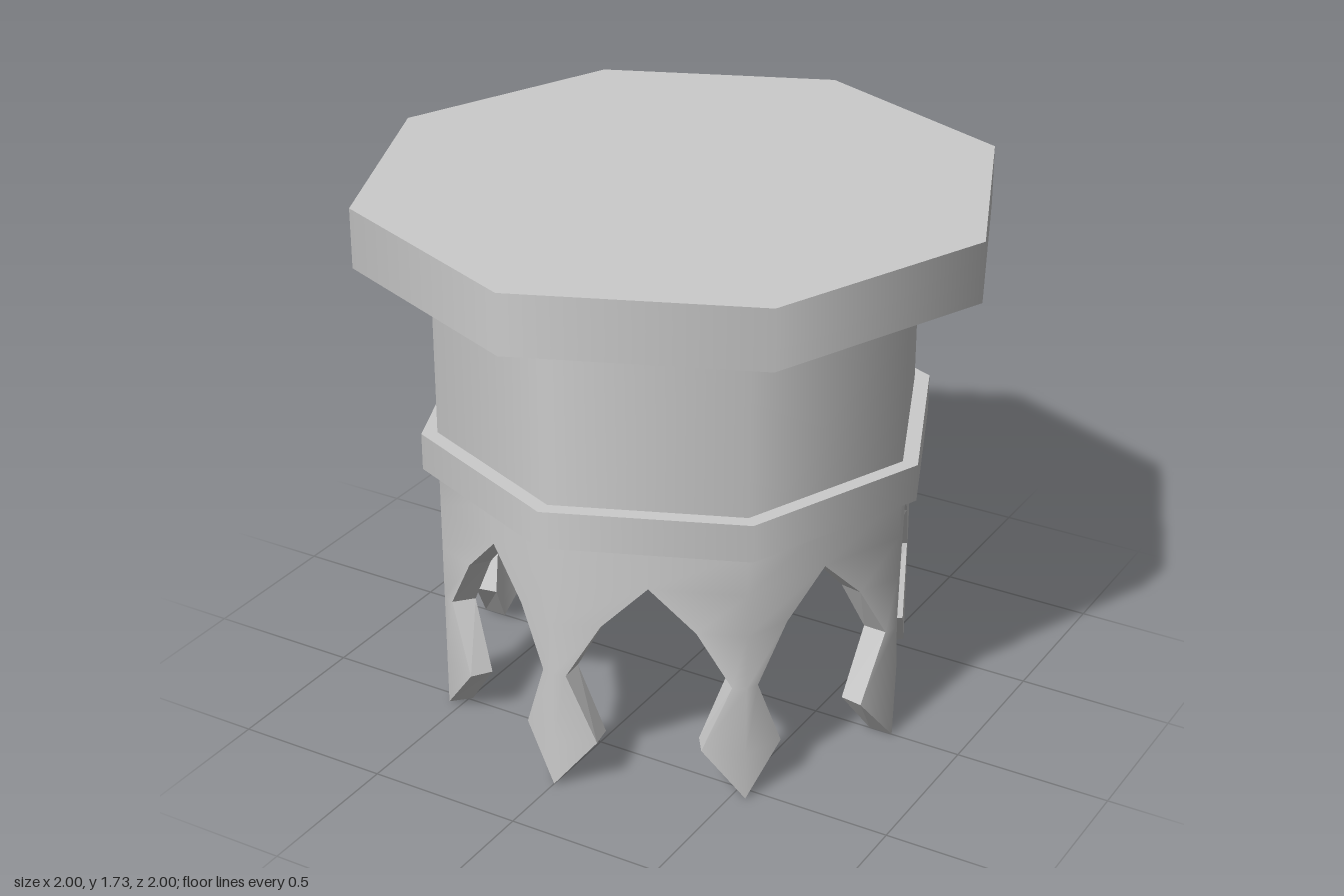
import * as THREE from 'three';
import { mergeVertices } from 'three/addons/utils/BufferGeometryUtils.js';

const SIDES = 8;
const R = 0.77;       // drum corner radius
const INNER = 0.9;    // inner wall scale
const HALF = 0.272;   // half a face, seen from the front

// Half-width of one hanging tooth at each height, tip to rim
const TOOTH = [[0, 0], [0.125, 0.16], [0.04, 0.39], [0.14, 0.57], [HALF, 0.71], [HALF, 0.85]];

const material = new THREE.MeshStandardMaterial({ color: 0xcccccc });

function addMesh(parent, name, geometry) {
  const mesh = new THREE.Mesh(geometry, material);
  mesh.name = name;
  parent.add(mesh);
  return mesh;
}

function octagon(parent, name, radius, y0, y1, open = false) {
  const g = new THREE.CylinderGeometry(radius, radius, y1 - y0, SIDES, 1, open);
  addMesh(parent, name, g.translate(0, (y0 + y1) / 2, 0));
}

// Point on the octagon wall beside corner i; side is -1, 0 or 1
function wallPoint(i, side, row, scale) {
  const [w, y] = TOOTH[row];
  const corner = k => {
    const a = k * 2 * Math.PI / SIDES;
    return new THREE.Vector3(Math.sin(a) * R * scale, y, Math.cos(a) * R * scale);
  };
  return corner(i).lerp(corner(i + side), side === 0 ? 0 : w / (2 * HALF));
}

function quadsToGeometry(quads, smooth) {
  const points = [];
  for (const [a, b, c, d] of quads) {
    for (const tri of [[a, b, c], [a, c, d]]) {
      const [p, q, r] = tri;
      const area = q.clone().sub(p).cross(r.clone().sub(p)).length();
      if (area > 1e-7) points.push(...tri);
    }
  }
  let g = new THREE.BufferGeometry().setFromPoints(points);
  if (smooth) g = mergeVertices(g, 1e-4);
  g.computeVertexNormals();
  return g;
}

function buildSkirt() {
  const skirt = new THREE.Group();
  skirt.name = 'toothedSkirt';
  const outer = [], inner = [], edges = [];
  for (let i = 0; i < SIDES; i++) {
    for (let row = 0; row < TOOTH.length - 1; row++) {
      for (const s of [-1, 0]) {
        const quad = k => [wallPoint(i, s, row, k), wallPoint(i, s + 1, row, k),
          wallPoint(i, s + 1, row + 1, k), wallPoint(i, s, row + 1, k)];
        outer.push(quad(1));
        inner.push(quad(INNER).reverse());
      }
      // Thickness along the cut outline
      if (row < TOOTH.length - 2) {
        for (const s of [-1, 1]) {
          const quad = [wallPoint(i, s, row, 1), wallPoint(i, s, row, INNER),
            wallPoint(i, s, row + 1, INNER), wallPoint(i, s, row + 1, 1)];
          edges.push(s > 0 ? quad : quad.reverse());
        }
      }
    }
  }
  addMesh(skirt, 'skirtOuterWall', quadsToGeometry(outer, true));
  addMesh(skirt, 'skirtInnerWall', quadsToGeometry(inner, true));
  addMesh(skirt, 'skirtCutEdges', quadsToGeometry(edges, false));
  return skirt;
}

export function createModel() {
  const model = new THREE.Group();
  model.name = 'octagonalCapital';
  octagon(model, 'topSlab', 1, 1.54, 1.73);
  octagon(model, 'drum', R, 0.85, 1.54, true);
  octagon(model, 'band', 0.82, 0.85, 0.97);
  model.add(buildSkirt());
  return model;
}
